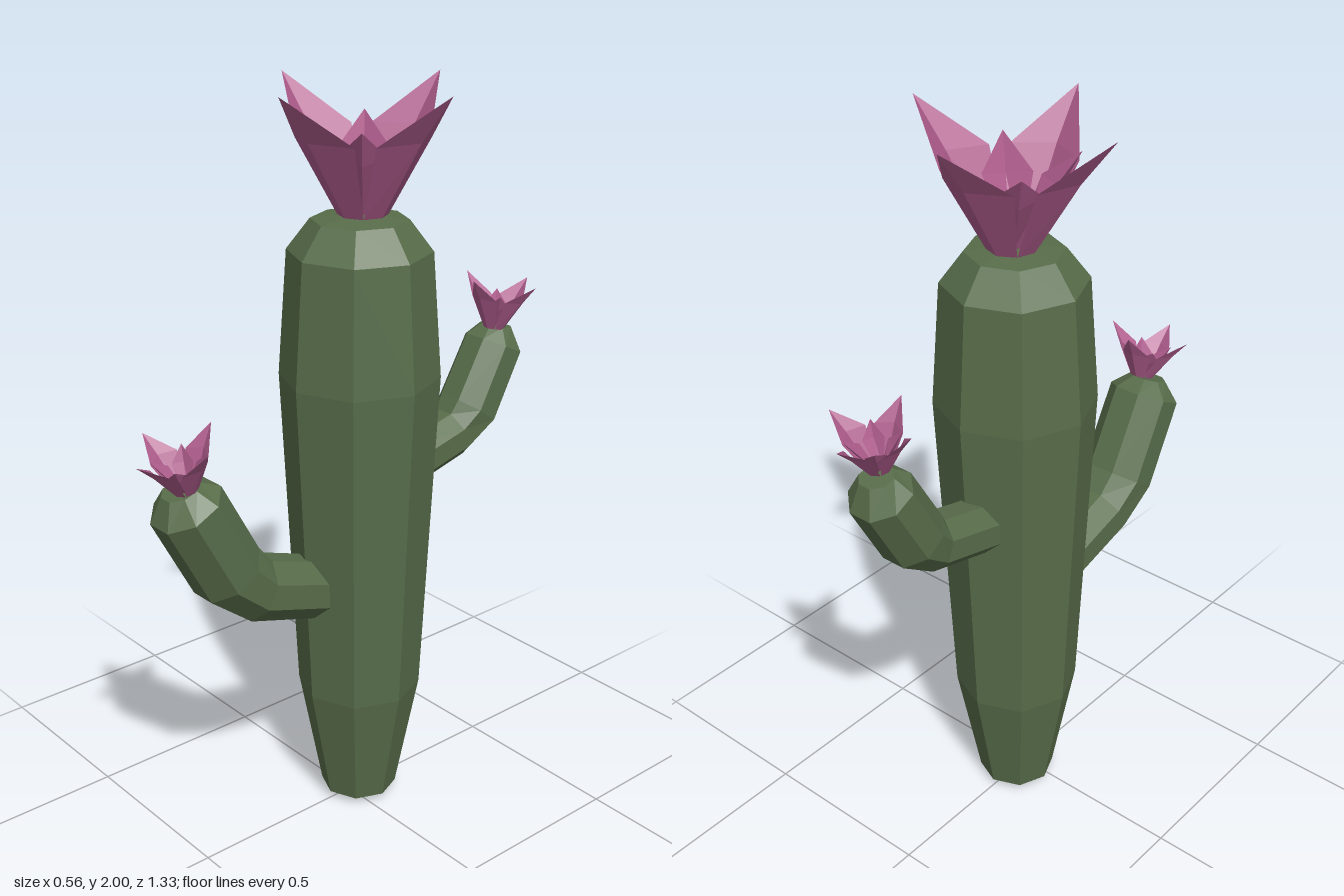
import * as THREE from 'three';

const green = new THREE.MeshStandardMaterial({ color: 0x586d4a, flatShading: true });
green.name = 'cactusGreen';
const pink = new THREE.MeshStandardMaterial({ color: 0xae5c8c, flatShading: true, side: THREE.DoubleSide });
pink.name = 'petalPink';

function meshOf(name, points, index, material) {
  const geo = new THREE.BufferGeometry();
  geo.setAttribute('position', new THREE.Float32BufferAttribute(points, 3));
  geo.setIndex(index);
  geo.computeVertexNormals();
  const mesh = new THREE.Mesh(geo, material);
  mesh.name = name;
  return mesh;
}

// Faceted tube through rings of [z, y, radius], closed at its outer end
function arm(name, rings, x0, sides = 8) {
  const points = [], index = [];
  rings.forEach(([z, y, r], i) => {
    const a = rings[Math.max(i - 1, 0)], b = rings[Math.min(i + 1, rings.length - 1)];
    const len = Math.hypot(b[0] - a[0], b[1] - a[1]);
    const tz = (b[0] - a[0]) / len, ty = (b[1] - a[1]) / len;
    for (let j = 0; j < sides; j++) {
      const t = ((j + 0.5) / sides) * Math.PI * 2;
      points.push(x0 + r * Math.cos(t), y + r * Math.sin(t) * tz, z - r * Math.sin(t) * ty);
      if (i === 0) continue;
      const k = (j + 1) % sides, lo = (i - 1) * sides, hi = i * sides;
      index.push(lo + j, lo + k, hi + k, lo + j, hi + k, hi + j);
    }
  });
  const [z, y] = rings[rings.length - 1], last = (rings.length - 1) * sides;
  points.push(x0, y, z);
  for (let j = 0; j < sides; j++) index.push(last + j, last + ((j + 1) % sides), last + sides);
  return meshOf(name, points, index, green);
}

// Cupped petal leaning towards +z: a centre crease with two edges folded inwards
function petal(name, base, mid, edge, tip) {
  const points = [
    -base.w, 0, base.r * 0.7, 0, 0, base.r, base.w, 0, base.r * 0.7,
    -edge.w, edge.y, edge.r, 0, mid.y, mid.r, edge.w, edge.y, edge.r,
    0, tip.y, tip.r,
  ];
  return meshOf(name, points, [0, 1, 4, 0, 4, 3, 1, 2, 5, 1, 5, 4, 3, 4, 6, 4, 5, 6], pink);
}

// Four tall outer petals with four short inner ones between them
function flower(name) {
  const group = new THREE.Group();
  group.name = name;
  for (let i = 0; i < 4; i++) {
    const outer = petal('outerPetal', { w: 0.045, r: 0.065 }, { y: 0.2, r: 0.19 },
      { w: 0.1, y: 0.195, r: 0.135 }, { y: 0.32, r: 0.283 });
    outer.rotation.y = 0.1 + i * Math.PI / 2;
    const inner = petal('innerPetal', { w: 0.025, r: 0.02 }, { y: 0.14, r: 0.115 },
      { w: 0.062, y: 0.155, r: 0.08 }, { y: 0.23, r: 0.165 });
    inner.rotation.y = 0.05 + (i + 0.5) * Math.PI / 2;
    group.add(outer, inner);
  }
  return group;
}

export function createModel() {
  const model = new THREE.Group();
  model.name = 'cactus';

  // Eight-sided trunk
  const profile = [[0, 0.005], [0.105, 0.025], [0.168, 0.36], [0.21, 1.26], [0.186, 1.59], [0.125, 1.67], [0, 1.685]];
  const trunk = new THREE.Mesh(
    new THREE.LatheGeometry(profile.map(([r, y]) => new THREE.Vector2(r, y)), 8), green);
  trunk.name = 'trunk';
  trunk.position.z = -0.035;
  model.add(trunk);

  // Bent arms
  model.add(arm('frontArm', [
    [0.08, 0.68, 0.085], [0.31, 0.755, 0.09], [0.395, 0.83, 0.1], [0.51, 1.045, 0.098], [0.525, 1.09, 0.05],
  ], -0.015));
  model.add(arm('backArm', [
    [-0.12, 0.945, 0.075], [-0.38, 1.01, 0.075], [-0.445, 1.065, 0.088], [-0.54, 1.235, 0.085], [-0.55, 1.285, 0.045],
  ], -0.015));

  // Flowers on the trunk and on each arm tip: name, y, z, tilt, scale
  const spots = [
    ['topFlower', 1.68, -0.045, 0, 1],
    ['frontFlower', 1.085, 0.515, 0.22, 0.425],
    ['backFlower', 1.285, -0.525, -0.16, 0.425],
  ];
  for (const [name, y, z, tilt, scale] of spots) {
    const bloom = flower(name);
    bloom.position.set(0, y, z);
    bloom.rotation.x = tilt;
    bloom.scale.setScalar(scale);
    model.add(bloom);
  }
  return model;
}
